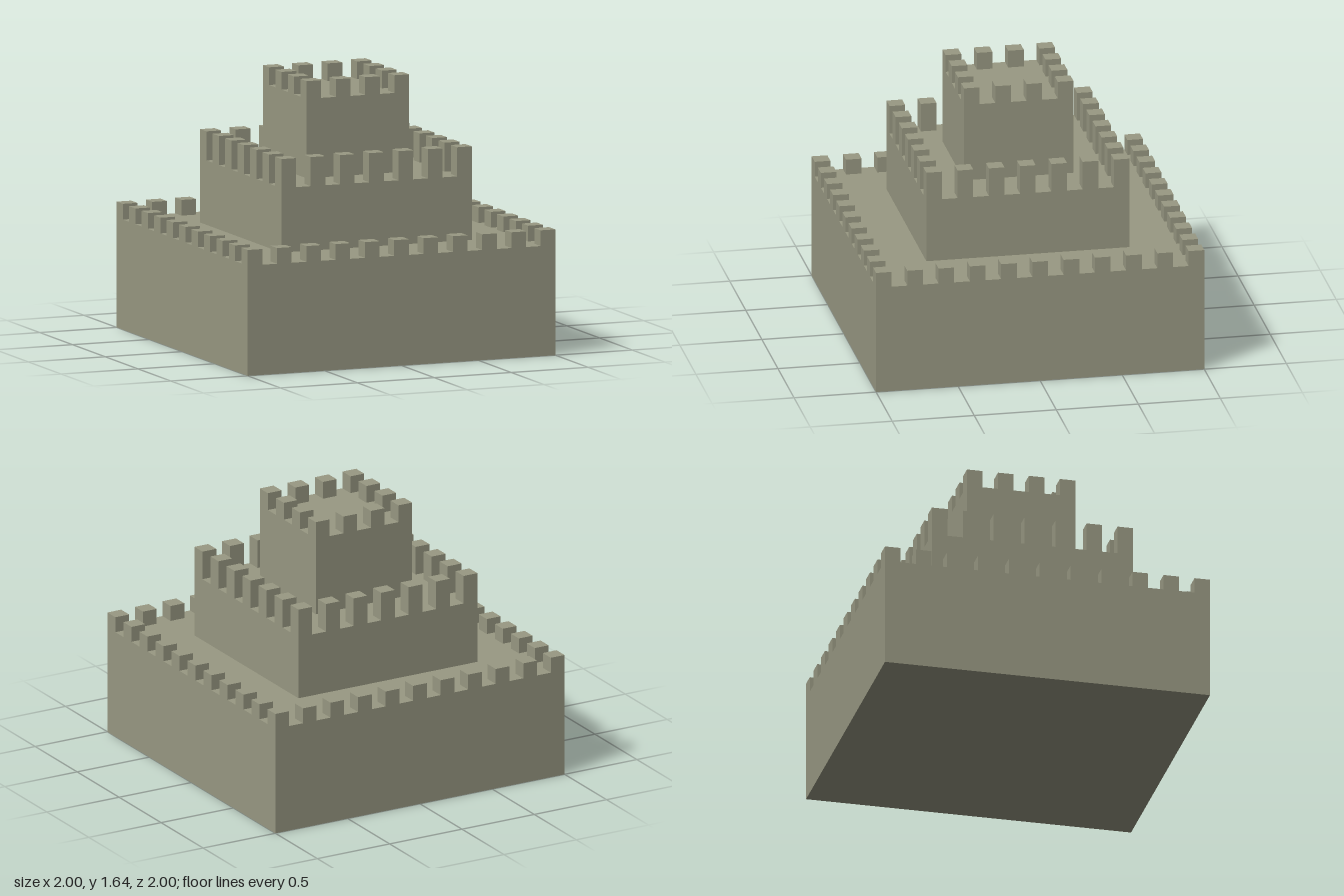
import * as THREE from 'three';

const U = 2 / 21; // merlon width, also the gap between merlons

export function createModel() {
  const model = new THREE.Group();
  model.name = 'steppedFortress';
  const stone = new THREE.MeshStandardMaterial({ color: 0x999983, flatShading: true });

  const addBox = (parent, name, w, h, x, y, z) => {
    const mesh = new THREE.Mesh(new THREE.BoxGeometry(w, h, w), stone);
    mesh.name = name;
    mesh.position.set(x, y + h / 2, z);
    parent.add(mesh);
  };

  // A square block crowned with a ring of merlons, count per side
  const addTier = (name, count, bottom, top, merlonTop) => {
    const tier = new THREE.Group();
    tier.name = name;
    const width = (2 * count - 1) * U;
    addBox(tier, name + 'Block', width, top - bottom, 0, bottom, 0);
    const last = count - 1;
    for (let i = 0; i < count; i++) {
      for (let j = 0; j < count; j++) {
        const onRim = i === 0 || j === 0 || i === last || j === last;
        if (onRim) addBox(tier, name + 'Merlon', U, merlonTop - top, (2 * i - last) * U, top, (2 * j - last) * U);
      }
    }
    model.add(tier);
  };

  addTier('lowerTier', 11, 0, 0.667, 0.762);
  addTier('middleTier', 7, 0.667, 1.057, 1.233);
  addTier('upperTier', 4, 1.057, 1.538, 1.645);

  return model;
}
